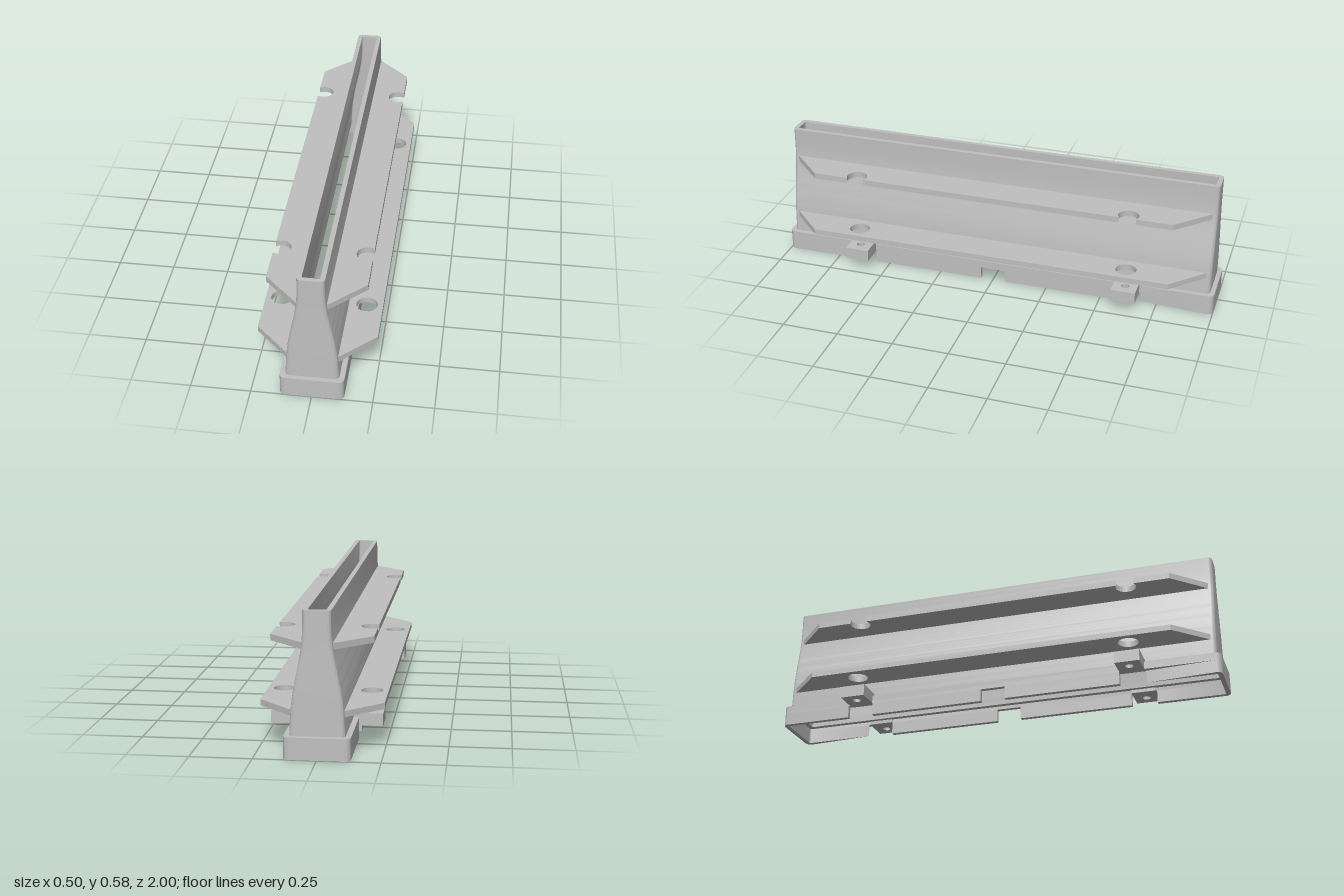
import * as THREE from 'three';
import { toCreasedNormals } from 'three/addons/utils/BufferGeometryUtils.js';

const HOLE_X = 0.18, HOLE_Z = 0.62, HOLE_R = 0.045;
const NOTCH_TOP = 0.055, HX = 0.132, WALL = 0.02;

// One horizontal rounded rectangle as a list of points
function ring([hx, hz, r, y]) {
  const pts = [], seg = 6;
  const corners = [[1, 1], [-1, 1], [-1, -1], [1, -1]];
  corners.forEach(([sx, sz], c) => {
    for (let i = 0; i <= seg; i++) {
      const a = (c + i / seg) * Math.PI / 2;
      pts.push([sx * (hx - r) + r * Math.cos(a), y, sz * (hz - r) + r * Math.sin(a)]);
    }
  });
  return pts;
}

// Skin through a closed chain of rings
function loft(sections) {
  const rings = sections.map(ring), pos = [], n = rings[0].length;
  rings.forEach((lo, i) => {
    const hi = rings[(i + 1) % rings.length];
    for (let j = 0; j < n; j++) {
      const k = (j + 1) % n;
      pos.push(...lo[j], ...hi[j], ...lo[k], ...lo[k], ...hi[j], ...hi[k]);
    }
  });
  const g = new THREE.BufferGeometry();
  g.setAttribute('position', new THREE.Float32BufferAttribute(pos, 3));
  return toCreasedNormals(g, 0.6);
}

// Plan outline raised from y0 to y1
function slab(shape, y0, y1) {
  const g = new THREE.ExtrudeGeometry(shape, { depth: y1 - y0, bevelEnabled: false, curveSegments: 24 });
  g.rotateX(-Math.PI / 2).translate(0, y0, 0);
  return toCreasedNormals(g, 0.6);
}

function circlePath(x, y, r) {
  return new THREE.Path().absarc(x, y, r, 0, Math.PI * 2, true);
}

// Side flange with tapered ends; holes that cross the edge become notches
function flangeShape(inner, outer) {
  const s = new THREE.Shape();
  const open = outer < HOLE_X + HOLE_R;
  s.moveTo(inner, -0.96);
  s.lineTo(outer - 0.145, -0.96);
  s.lineTo(outer, -0.815);
  if (open) {
    const a = Math.acos((outer - HOLE_X) / HOLE_R);
    for (const z of [-HOLE_Z, HOLE_Z]) s.absarc(HOLE_X, z, HOLE_R, -a, a, true);
  } else {
    for (const z of [-HOLE_Z, HOLE_Z]) s.holes.push(circlePath(HOLE_X, z, HOLE_R));
  }
  s.lineTo(outer, 0.815);
  s.lineTo(outer - 0.145, 0.96);
  s.lineTo(inner, 0.96);
  s.closePath();
  return s;
}

// U-shaped foot under one end of the base
function endFootShape() {
  const s = new THREE.Shape(), r = 0.025, q = 0.008, z0 = 0.68;
  const ix = HX - WALL, iz = 1 - WALL;
  s.moveTo(HX, z0);
  s.absarc(HX - r, 1 - r, r, 0, Math.PI / 2, false);
  s.absarc(-HX + r, 1 - r, r, Math.PI / 2, Math.PI, false);
  s.lineTo(-HX, z0);
  s.lineTo(-ix, z0);
  s.absarc(-ix + q, iz - q, q, Math.PI, Math.PI / 2, true);
  s.absarc(ix - q, iz - q, q, Math.PI / 2, 0, true);
  s.lineTo(ix, z0);
  s.closePath();
  return s;
}

// Lug with a pin hole
function lugShape(z) {
  const s = new THREE.Shape();
  s.moveTo(0.108, z - 0.054);
  s.lineTo(0.23, z - 0.054);
  s.lineTo(0.23, z + 0.054);
  s.lineTo(0.108, z + 0.054);
  s.closePath();
  s.holes.push(circlePath(HOLE_X, z, 0.018));
  return s;
}

export function createModel() {
  const model = new THREE.Group();
  model.name = 'barrier';
  const grey = new THREE.MeshStandardMaterial({ color: 0xc0c0c0 });
  grey.name = 'light grey';
  const add = (parent, name, geometry) => {
    const m = new THREE.Mesh(geometry, grey);
    m.name = name;
    parent.add(m);
    return m;
  };

  // Hollow wall, open above and below, with the upper part of the base
  const curve = new THREE.SplineCurve([
    [0.11, 0.09], [0.106, 0.165], [0.102, 0.21], [0.096, 0.255], [0.087, 0.305],
    [0.077, 0.355], [0.068, 0.4], [0.061, 0.45], [0.057, 0.505], [0.056, 0.585],
  ].map(p => new THREE.Vector2(...p)));
  const profile = curve.getPoints(27);
  const outside = profile.map(p => [p.x, 0.98, 0.018, p.y]);
  const inside = profile.slice().reverse().map(p => [p.x - WALL, 0.96, 0.006, p.y]);
  inside[inside.length - 1][3] = 0.07;
  add(model, 'hollowWall', loft([
    [HX, 1, 0.025, NOTCH_TOP], [HX, 1, 0.025, 0.09],
    ...outside, ...inside,
    [HX - WALL, 0.98, 0.008, 0.07], [HX - WALL, 0.98, 0.008, NOTCH_TOP],
  ]));

  // Each half is the other turned about the vertical axis
  for (const turn of [0, Math.PI]) {
    const half = new THREE.Group();
    half.name = turn ? 'rightHalf' : 'leftHalf';
    half.rotation.y = turn;
    model.add(half);

    add(half, 'lowerFlange', slab(flangeShape(0.095, 0.248), 0.165, 0.19));
    add(half, 'upperFlange', slab(flangeShape(0.052, 0.205), 0.43, 0.456));
    add(half, 'endFoot', slab(endFootShape(), 0, NOTCH_TOP));

    for (const side of [-1, 1]) {
      add(half, 'lug', slab(lugShape(side * HOLE_Z), NOTCH_TOP, 0.107));
      const foot = add(half, 'sideFoot', new THREE.BoxGeometry(WALL, NOTCH_TOP, 0.51));
      foot.position.set(HX - WALL / 2, NOTCH_TOP / 2, side * 0.31);
    }
  }
  return model;
}
